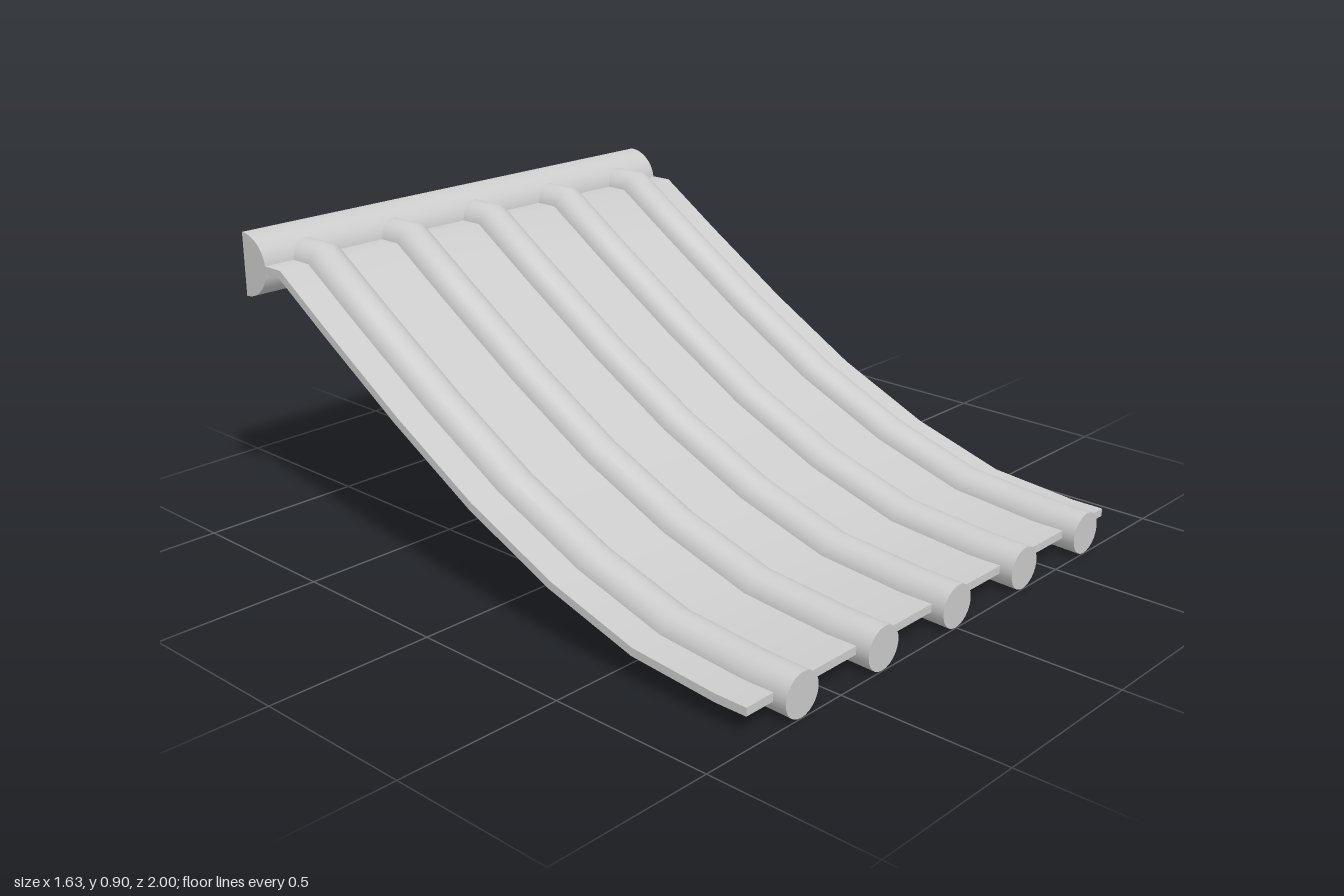
import * as THREE from 'three';
import { toCreasedNormals } from 'three/addons/utils/BufferGeometryUtils.js';

const material = new THREE.MeshStandardMaterial({ color: 0xcccccc });

// Slope of the roof as [z, y], from the eave back to the ridge
const SLOPE = [[0.86, 0.07], [0.58, 0.094], [0.283, 0.182], [-0.022, 0.315],
  [-0.321, 0.483], [-0.62, 0.67], [-0.826, 0.804]];
const HALF_WIDTH = 0.815;

// Sweep a convex section of [x, n] points along a [z, y] path with mitred joints
function sweep(section, path) {
  const dir = (a, b) => new THREE.Vector2(b[0] - a[0], b[1] - a[1]).normalize();
  const last = path.length - 1, count = section.length;
  const positions = [], index = [];
  path.forEach((p, i) => {
    const before = dir(path[Math.max(i - 1, 0)], path[Math.max(i, 1)]);
    const after = dir(path[Math.min(i, last - 1)], path[Math.min(i + 1, last)]);
    const t = before.clone().add(after).normalize();
    const stretch = 1 / t.dot(after);
    for (const [x, n] of section) {
      positions.push(x, p[1] - t.x * n * stretch, p[0] + t.y * n * stretch);
    }
  });
  for (let i = 0; i < last; i++) {
    for (let j = 0; j < count; j++) {
      const a = i * count + j, b = i * count + (j + 1) % count;
      index.push(a, a + count, b + count, a, b + count, b);
    }
  }
  // Flat ends
  const end = last * count;
  for (let j = 1; j < count - 1; j++) {
    index.push(0, j, j + 1, end, end + j + 1, end + j);
  }
  const geometry = new THREE.BufferGeometry();
  geometry.setAttribute('position', new THREE.Float32BufferAttribute(positions, 3));
  geometry.setIndex(index);
  return toCreasedNormals(geometry, 0.75);
}

export function createModel() {
  const group = new THREE.Group();
  const add = (name, geometry) => {
    const mesh = new THREE.Mesh(geometry, material);
    mesh.name = name;
    group.add(mesh);
    return mesh;
  };

  // Thin curved sheet between the ribs
  const t = 0.012;
  add('roofSheet', sweep(
    [[-HALF_WIDTH, -t], [HALF_WIDTH, -t], [HALF_WIDTH, t], [-HALF_WIDTH, t]],
    [[0.96, 0.07], ...SLOPE, [-0.95, 0.804]]));

  // Five round ribs following the slope, projecting past the eave
  const circle = Array.from({ length: 24 }, (_, i) => {
    const a = i / 24 * Math.PI * 2;
    return [0.063 * Math.cos(a), 0.064 * Math.sin(a)];
  });
  const ribGeometry = sweep(circle, [[1, 0.066], ...SLOPE, [-0.95, 0.804]]);
  for (let i = -2; i <= 2; i++) add('rib' + (i + 3), ribGeometry).position.x = i * 0.327;

  // Half-round ridge beam with a flat back
  const half = Array.from({ length: 25 }, (_, i) => {
    const a = -Math.PI / 2 + i / 24 * Math.PI;
    return new THREE.Vector2(-0.105 * Math.cos(a), 0.097 * Math.sin(a));
  });
  const ridge = new THREE.ExtrudeGeometry(new THREE.Shape(half),
    { depth: HALF_WIDTH * 2, bevelEnabled: false });
  ridge.rotateY(Math.PI / 2).translate(-HALF_WIDTH, 0.804, -1);
  add('ridgeBeam', toCreasedNormals(ridge, 0.75));

  return group;
}
